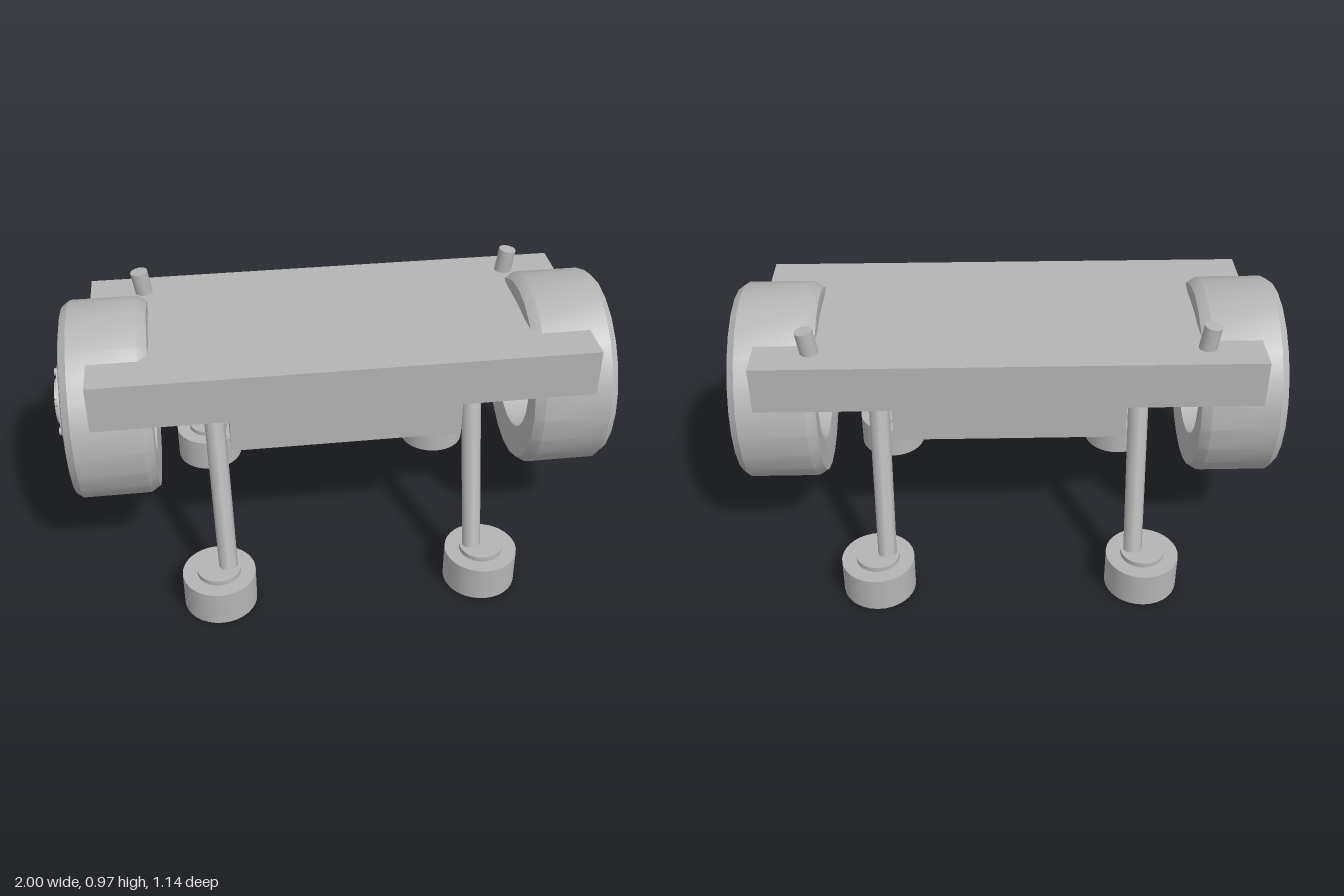
import * as THREE from 'three';
import { toCreasedNormals } from 'three/addons/utils/BufferGeometryUtils.js';

const grey = new THREE.MeshStandardMaterial({ color: 0xb4b4b4 });
grey.name = 'plain grey';

function part(name, geometry, x = 0, y = 0, z = 0) {
  const mesh = new THREE.Mesh(geometry, grey);
  mesh.name = name;
  mesh.position.set(x, y, z);
  return mesh;
}

// Cylinder running from point a to point b
function rod(name, a, b, rA, rB, sides) {
  const dir = b.clone().sub(a);
  const mesh = part(name, new THREE.CylinderGeometry(rB, rA, dir.length(), sides));
  mesh.position.copy(a).add(b).multiplyScalar(0.5);
  mesh.quaternion.setFromUnitVectors(new THREE.Vector3(0, 1, 0), dir.normalize());
  return mesh;
}

// Disc on the wheel axis, spanning x0 to x1
function axleDisc(name, r, x0, x1, sides, y = 0, z = 0) {
  const geometry = new THREE.CylinderGeometry(r, r, x1 - x0, sides).rotateZ(-Math.PI / 2);
  return part(name, geometry, (x0 + x1) / 2, y, z);
}

// Hollow tyre with a rim disc, flange, hub cap and six bolts; faces +x
function makeWheel(name) {
  const wheel = new THREE.Group();
  wheel.name = name;
  const profile = [
    [0.219, 0.665], [0.3, 0.654], [0.333, 0.657], [0.354, 0.69], [0.354, 0.925],
    [0.336, 0.95], [0.3, 0.957], [0.219, 0.957], [0.219, 0.665],
  ].map(([r, x]) => new THREE.Vector2(r, x));
  const tyre = toCreasedNormals(new THREE.LatheGeometry(profile, 24), 0.6).rotateZ(-Math.PI / 2);
  wheel.add(
    part('tyre', tyre),
    axleDisc('rimDisc', 0.213, 0.925, 0.966, 24),
    axleDisc('hubFlange', 0.145, 0.96, 0.983, 32),
    axleDisc('hubCap', 0.08, 0.98, 1, 32),
  );
  for (let i = 0; i < 6; i++) {
    const a = (i * Math.PI) / 3;
    wheel.add(axleDisc('bolt', 0.014, 0.98, 0.994, 6, 0.121 * Math.cos(a), 0.121 * Math.sin(a)));
  }
  wheel.position.y = 0.605;
  return wheel;
}

export function createModel() {
  const model = new THREE.Group();
  model.name = 'wheeledPlatform';

  // Deck and the box hung below it
  model.add(
    part('deck', new THREE.BoxGeometry(1.72, 0.17, 0.72), 0, 0.797, 0),
    part('underBox', new THREE.BoxGeometry(0.8, 0.15, 0.65), 0, 0.64, 0),
  );

  // Wheels on both ends
  const leftWheel = makeWheel('leftWheel');
  const rightWheel = makeWheel('rightWheel');
  rightWheel.rotation.y = Math.PI;
  model.add(leftWheel, rightWheel);

  for (const sx of [1, -1]) {
    // Leaning pegs on the rear of the deck
    model.add(rod('peg', new THREE.Vector3(sx * 0.662, 0.84, -0.255),
      new THREE.Vector3(sx * 0.68, 0.965, -0.255), 0.031, 0.031, 20));

    // Splayed legs on round feet
    for (const sz of [1, -1]) {
      const leg = new THREE.Group();
      leg.name = (sz > 0 ? 'front' : 'rear') + (sx > 0 ? 'Left' : 'Right') + 'Leg';
      leg.add(
        part('foot', new THREE.CylinderGeometry(0.129, 0.129, 0.13, 32), sx * 0.472, 0.065, sz * 0.443),
        part('footCollar', new THREE.CylinderGeometry(0.077, 0.077, 0.02, 32), sx * 0.472, 0.138, sz * 0.443),
        rod('strut', new THREE.Vector3(sx * 0.438, 0.145, sz * 0.442),
          new THREE.Vector3(sx * 0.452, 0.74, sz * 0.205), 0.033, 0.036, 8),
      );
      model.add(leg);
    }
  }
  return model;
}
